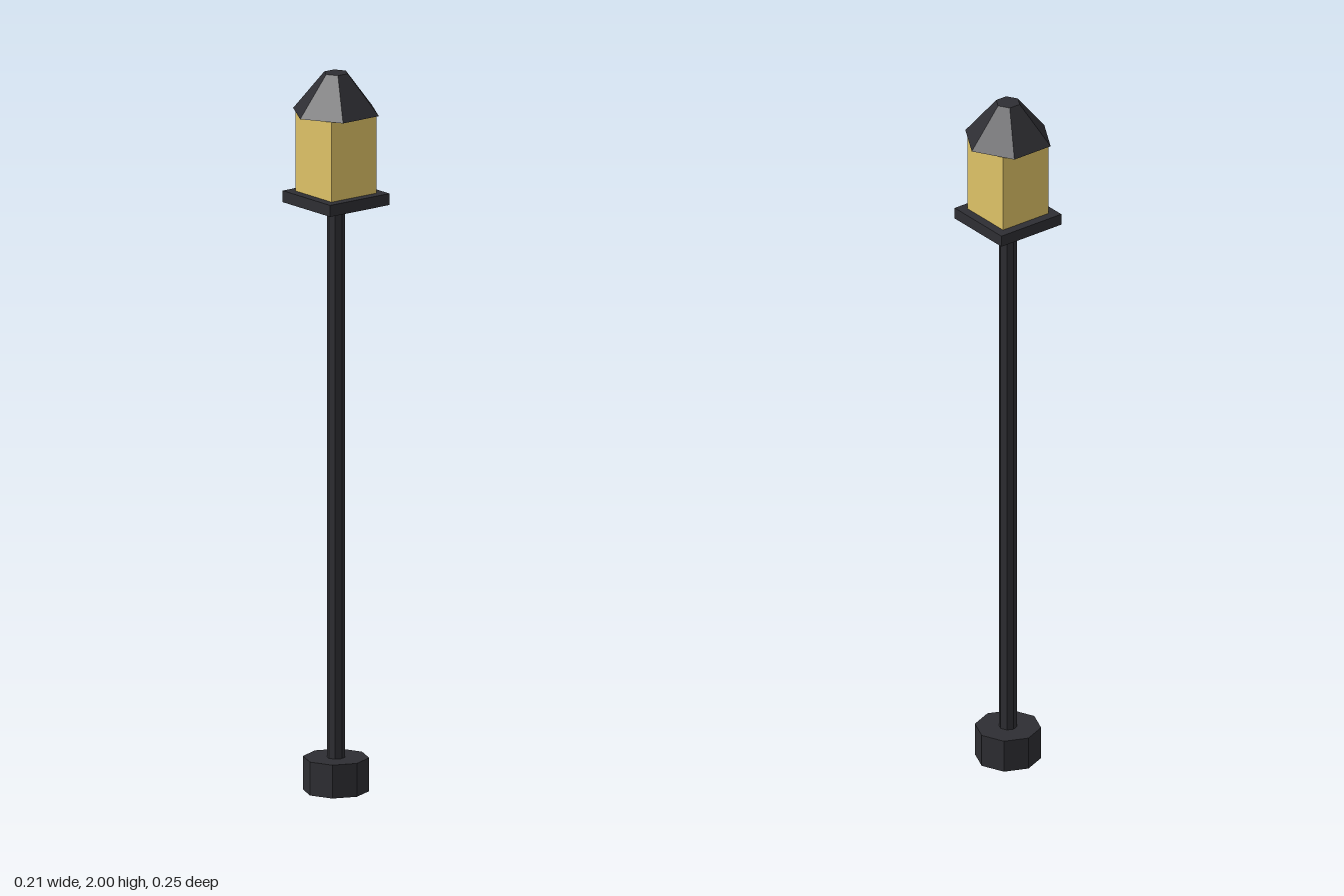
import * as THREE from 'three';

export function createModel() {
  const model = new THREE.Group();
  const iron = new THREE.MeshStandardMaterial({ color: 0x2e2e33, flatShading: true });
  const glass = new THREE.MeshStandardMaterial({ color: 0xe0c468, flatShading: true });

  // Adds a part spanning the heights y0 to y1
  const add = (name, geometry, material, y0, y1) => {
    const mesh = new THREE.Mesh(geometry, material);
    mesh.name = name;
    mesh.position.y = (y0 + y1) / 2;
    model.add(mesh);
  };
  const prism = (name, rTop, rBottom, sides, y0, y1) =>
    add(name, new THREE.CylinderGeometry(rTop, rBottom, y1 - y0, sides), iron, y0, y1);
  const block = (name, width, material, y0, y1) =>
    add(name, new THREE.BoxGeometry(width, y1 - y0, width), material, y0, y1);

  // Octagonal foot and slender post
  prism('base', 0.09, 0.09, 8, 0, 0.093);
  prism('post', 0.025, 0.025, 8, 0.093, 1.635);

  // Square tray carrying the lantern
  block('tray', 0.205, iron, 1.635, 1.667);
  block('lanternGlass', 0.155, glass, 1.667, 1.89);

  // Hexagonal roof with a small flat top
  prism('roof', 0.034, 0.124, 6, 1.89, 2);

  return model;
}
